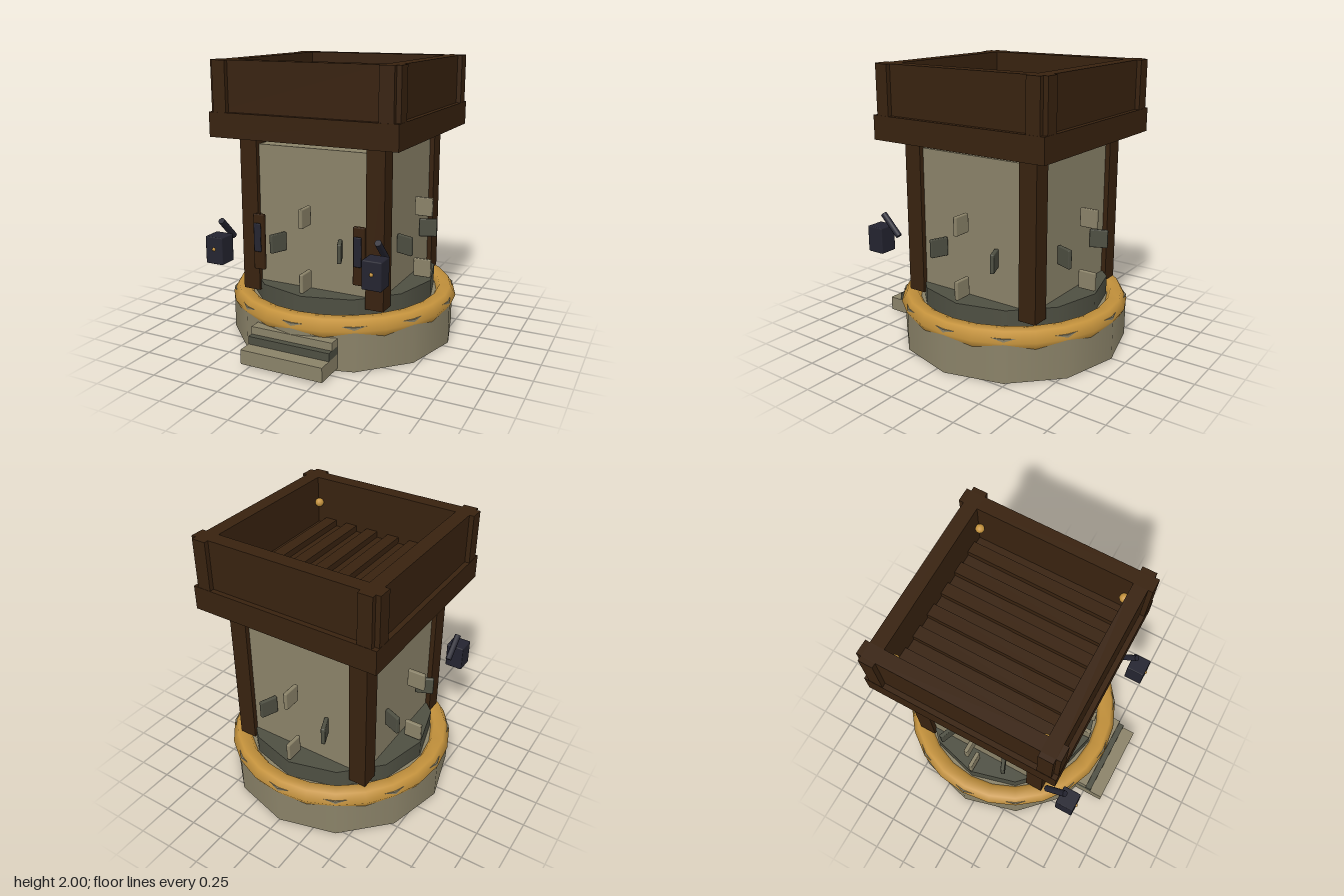
import * as THREE from 'three';
import { RoundedBoxGeometry } from 'three/addons/geometries/RoundedBoxGeometry.js';

const mat = (name, color) => {
  const m = new THREE.MeshStandardMaterial({ color });
  m.name = name;
  return m;
};

export function createModel() {
  const stone = mat('pale stone', 0x8a8268);
  const darkStone = mat('dark stone', 0x4e4f42);
  const wood = mat('dark wood', 0x38220f);
  const gold = mat('gold', 0xc4923c);
  const iron = mat('dark iron', 0x242430);

  const model = new THREE.Group();
  model.name = 'watchtower';
  // the tower sits behind the steps and lanterns
  const tower = new THREE.Group();
  tower.name = 'tower';
  tower.position.z = -0.07;
  model.add(tower);

  const add = (parent, name, geo, m, x = 0, y = 0, z = 0) => {
    const mesh = new THREE.Mesh(geo, m);
    mesh.name = name;
    mesh.position.set(x, y, z);
    parent.add(mesh);
    return mesh;
  };
  // box given by its minimum and maximum corners
  const span = (parent, name, m, [x0, y0, z0], [x1, y1, z1]) =>
    add(parent, name, new THREE.BoxGeometry(x1 - x0, y1 - y0, z1 - z0), m,
      (x0 + x1) / 2, (y0 + y1) / 2, (z0 + z1) / 2);

  // round foundation with a gilded rim
  add(tower, 'foundation', new THREE.CylinderGeometry(0.825, 0.825, 0.315, 12), stone, 0, 0.1575, 0);
  add(tower, 'plinth', new THREE.CylinderGeometry(0.68, 0.68, 0.2, 12), darkStone, 0, 0.35, 0);
  add(tower, 'goldRim', new THREE.TorusGeometry(0.75, 0.08, 6, 24), gold, 0, 0.286, 0).rotation.x = -Math.PI / 2;

  // tower walls and corner posts
  span(tower, 'walls', stone, [-0.505, 0.44, -0.505], [0.505, 1.43, 0.505]);
  for (const sx of [-1, 1]) for (const sz of [-1, 1]) {
    add(tower, 'cornerPost', new THREE.BoxGeometry(0.13, 1.11, 0.13), wood, sx * 0.475, 0.935, sz * 0.475);
  }

  // three rings of radial stones, the middle one turned by half a step
  [[0.535, 0, stone], [0.765, 0.5, darkStone], [0.985, 0, stone]].forEach(([y, shift, m]) => {
    for (let i = 0; i < 8; i++) {
      const a = (i + shift) * Math.PI / 4;
      const s = add(tower, 'wallStone', new RoundedBoxGeometry(0.03, 0.133, 0.13, 1, 0.008), m,
        Math.sin(a) * 0.615, y, Math.cos(a) * 0.615);
      s.rotation.y = a;
    }
  });

  // open gallery on top: floor band, planks, parapet
  const gallery = new THREE.Group();
  gallery.name = 'gallery';
  tower.add(gallery);
  span(gallery, 'floorBand', wood, [-0.685, 1.485, -0.685], [0.685, 1.655, 0.685]);
  for (let i = 0; i < 6; i++) {
    add(gallery, 'floorPlank', new THREE.BoxGeometry(0.088, 0.05, 1.1), wood, -0.4375 + i * 0.175, 1.675, 0);
  }
  for (let i = 0; i < 4; i++) {
    const side = new THREE.Group();
    side.name = 'parapetSide';
    side.rotation.y = i * Math.PI / 2;
    gallery.add(side);
    span(side, 'parapetWall', wood, [-0.65, 1.655, 0.55], [0.55, 2, 0.65]);
    for (const sx of [-1, 1]) {
      add(side, 'parapetCornerBoard', new THREE.BoxGeometry(0.1, 0.345, 0.035), wood, sx * 0.6, 1.8275, 0.6655);
    }
    // gold knob in each inner corner
    add(side, 'goldKnob', new THREE.SphereGeometry(0.032, 10, 8), gold, 0.525, 1.82, 0.525);
  }

  // front steps
  span(model, 'lowerStep', stone, [-0.305, 0.02, 0.5], [0.305, 0.122, 0.9]);
  span(model, 'middleStep', darkStone, [-0.305, 0.122, 0.5], [0.305, 0.178, 0.8]);
  span(model, 'upperStep', stone, [-0.305, 0.178, 0.5], [0.305, 0.233, 0.757]);

  // door plaques with handles, and lanterns on slanted arms
  for (const s of [-1, 1]) {
    const x = s * 0.38;
    add(model, 'doorPlaque', new RoundedBoxGeometry(0.084, 0.4, 0.034, 1, 0.008), wood, x, 0.755, 0.503);
    add(model, 'handle', new RoundedBoxGeometry(0.054, 0.205, 0.016, 2, 0.007), iron, x, 0.792, 0.533);

    const lantern = new THREE.Group();
    lantern.name = 'lantern';
    lantern.position.x = s * 0.58;
    model.add(lantern);
    add(lantern, 'lanternBox', new RoundedBoxGeometry(0.135, 0.192, 0.135, 1, 0.008), iron, 0, 0.735, 0.7);
    add(lantern, 'lanternArm', new THREE.CylinderGeometry(0.023, 0.023, 0.2, 10), iron, 0, 0.85, 0.597)
      .rotation.x = Math.PI / 4;
    add(lantern, 'lanternStud', new THREE.SphereGeometry(0.013, 8, 6), gold, 0, 0.745, 0.767);
  }
  return model;
}
